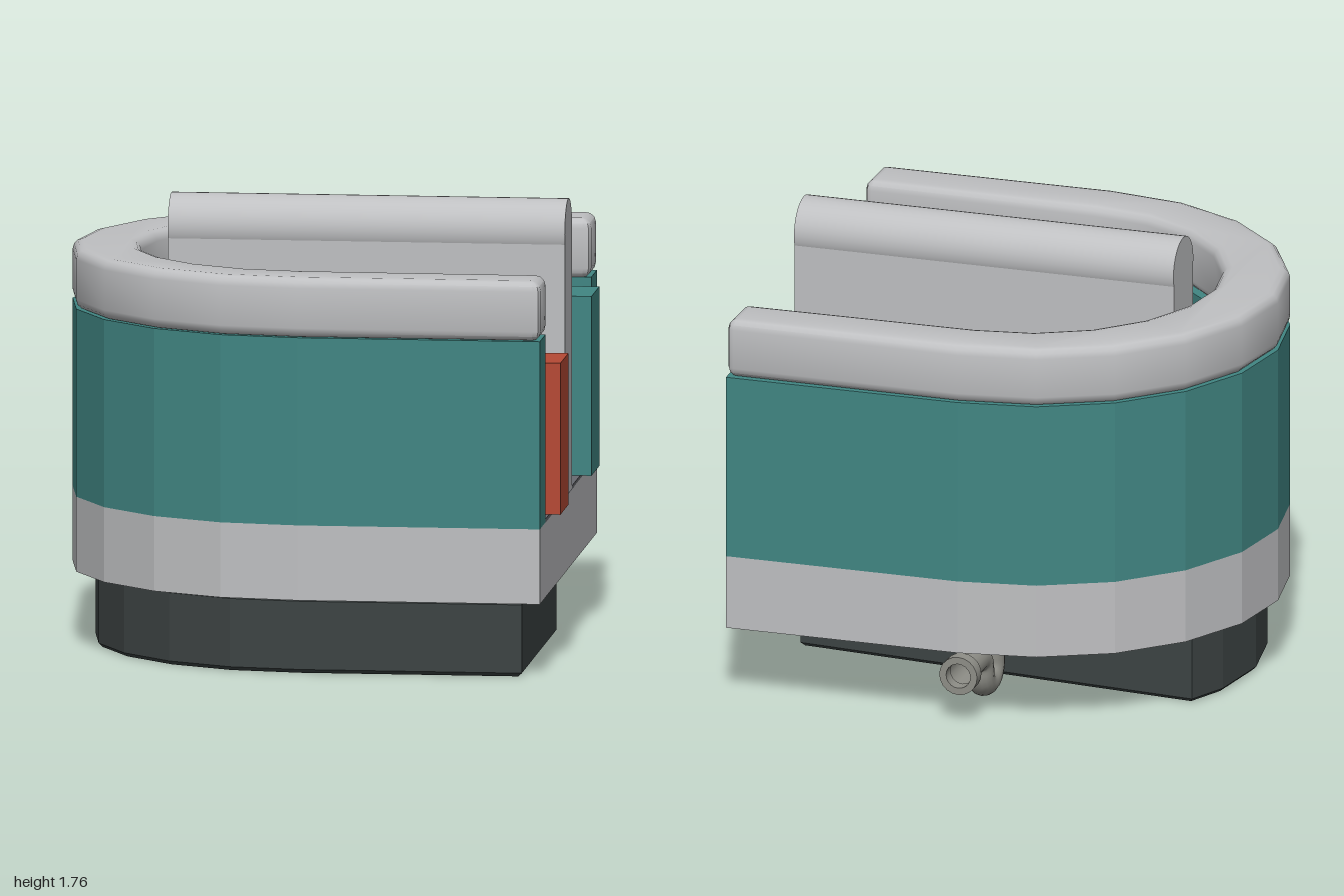
import * as THREE from 'three';
import { toCreasedNormals } from 'three/addons/utils/BufferGeometryUtils.js';

const mat = (name, color, side = THREE.FrontSide) => {
  const m = new THREE.MeshStandardMaterial({ color, side });
  m.name = name;
  return m;
};

export function createModel() {
  const model = new THREE.Group();
  model.name = 'horseshoeCounter';
  const M = {
    gray: mat('light gray', 0xbfc0c2),
    teal: mat('teal', 0x418683),
    floor: mat('slate floor', 0x686a70),
    dark: mat('charcoal', 0x3d4444),
    pipe: mat('pipe gray', 0x8f8f88, THREE.DoubleSide),
    red: mat('red', 0xb64a35),
    blue: mat('blue', 0x3b6a9d),
    green: mat('green', 0x568b50),
    yellow: mat('yellow', 0xc9a83c),
    orange: mat('orange', 0xc07830),
  };
  const END = 0.955;

  const add = (name, geometry, material, x = 0, y = 0, z = 0, parent = model) => {
    const mesh = new THREE.Mesh(geometry, material);
    mesh.name = name;
    mesh.position.set(x, y, z);
    parent.add(mesh);
    return mesh;
  };

  // Half ellipse in 18 degree steps, from the +y side round -x to the -y side
  const arc = (rx, ry, from = 0, to = 10) => {
    const pts = [];
    for (let i = from; i <= to; i++) {
      const a = Math.PI / 2 + (i * Math.PI) / 10;
      pts.push([rx * Math.cos(a), ry * Math.sin(a)]);
    }
    return pts;
  };
  const shapeOf = (pts) => new THREE.Shape(pts.map(([x, y]) => new THREE.Vector2(x, y)));

  // Stand a plan outline (x, -z) up between two heights
  const slab = (pts, y0, y1, bevel = 0, segments = 1) => {
    const g = new THREE.ExtrudeGeometry(shapeOf(pts), {
      depth: y1 - y0 - 2 * bevel,
      bevelEnabled: bevel > 0,
      bevelSize: bevel,
      bevelThickness: bevel,
      bevelOffset: -bevel,
      bevelSegments: segments,
    });
    return g.rotateX(-Math.PI / 2).translate(0, y0 + bevel, 0);
  };

  // Plinth, floor and curved wall
  const outer = [[END, 0.98], ...arc(1, 0.98), [END, -0.98]];
  const inner = [[END, 0.785], ...arc(0.73, 0.715, 1, 9), [END, -0.785]];
  add('plinth', slab(outer, 0.3, 0.597), M.gray);
  add('floor', slab(inner, 0.595, 0.61), M.floor);
  add('curvedWall', slab([...outer, ...inner.slice().reverse()], 0.597, 1.34), M.teal);

  // Padded rail on the wall, with rounded ends
  const r = 0.03;
  const railEnd = (s) => [
    [END - r, s * 0.755], [END - r * 0.3, s * (0.755 + r * 0.3)], [END, s * (0.755 + r)],
    [END, s * (0.975 - r)], [END - r * 0.3, s * (0.975 - r * 0.3)], [END - r, s * 0.975],
  ];
  const rail = [
    ...railEnd(1),
    ...arc(1, 0.98),
    ...railEnd(-1).reverse(),
    ...arc(0.73, 0.745).reverse(),
  ];
  add('rail', toCreasedNormals(slab(rail, 1.337, 1.575, 0.04, 3), 0.6), M.gray);

  // Base below the plinth, cut away at the back for the pipe
  const base = [
    [0.875, 0.285], [-0.79, 0.44], [-0.866, 0.28],
    ...arc(0.91, 0.9, 5, 10), [0.875, -0.9],
  ];
  add('base', slab(base, 0, 0.3, 0.015), M.dark);

  // Central divider with a round cap
  const divider = new THREE.Group();
  divider.name = 'divider';
  model.add(divider);
  const length = END + 0.61, midX = (END - 0.61) / 2;
  add('dividerPanel', new THREE.BoxGeometry(length, 1.04, 0.235), M.gray, midX, 1.12, 0, divider);
  add('dividerCap', new THREE.CylinderGeometry(0.125, 0.125, length, 32).rotateZ(Math.PI / 2),
    M.gray, midX, 1.64, 0, divider);

  // Coloured blocks: x start, x end, z centre, top height
  const blocks = [
    ['red', 0.64, 1, 0.528, 1.21],
    ['gray', 0.25, 0.64, 0.528, 1.32],
    ['yellow', -0.22, 0.17, 0.528, 1.425],
    ['blue', -0.69, -0.3, 0.388, 1.21],
    ['teal', 0.64, 1, -0.535, 1.32],
    ['orange', 0.25, 0.64, -0.535, 1.425],
    ['green', -0.22, 0.17, -0.535, 1.21],
    ['red', -0.69, -0.3, -0.395, 1.32],
  ];
  for (const [c, x0, x1, z, top] of blocks) {
    add(c + 'Block', new THREE.BoxGeometry(x1 - x0, top - 0.61, 0.272), M[c],
      (x0 + x1) / 2, (top + 0.61) / 2, z);
  }

  // Drain pipe with a trap bend
  const drain = new THREE.Group();
  drain.name = 'drainPipe';
  model.add(drain);
  const v = (y, z) => new THREE.Vector3(0, y, z);
  const path = new THREE.CurvePath();
  path.add(new THREE.LineCurve3(v(0.3, -0.56), v(0.14, -0.56)));
  path.add(new THREE.CubicBezierCurve3(v(0.14, -0.56), v(0.045, -0.56), v(0.045, -0.695), v(0.13, -0.695)));
  path.add(new THREE.QuadraticBezierCurve3(v(0.13, -0.695), v(0.2, -0.695), v(0.2, -0.77)));
  path.add(new THREE.LineCurve3(v(0.2, -0.77), v(0.2, -0.96)));
  add('trapTube', new THREE.TubeGeometry(path, 48, 0.056, 16), M.pipe, 0, 0, 0, drain);

  // Open collar ring, centred on its own axis
  const collar = (radius, height) => {
    const h = height / 2, hole = 0.05;
    const profile = [[hole, -h], [radius, -h], [radius, h], [hole, h], [hole, -h]]
      .map(([x, y]) => new THREE.Vector2(x, y));
    return toCreasedNormals(new THREE.LatheGeometry(profile, 20), 0.6);
  };
  add('topCollar', collar(0.068, 0.05), M.pipe, 0, 0.275, -0.56, drain);
  add('lowerCollar', collar(0.074, 0.045), M.pipe, 0, 0.23, -0.56, drain);
  add('outletCollar', collar(0.078, 0.055).rotateX(Math.PI / 2), M.pipe, 0, 0.2, -0.942, drain);

  return model;
}
